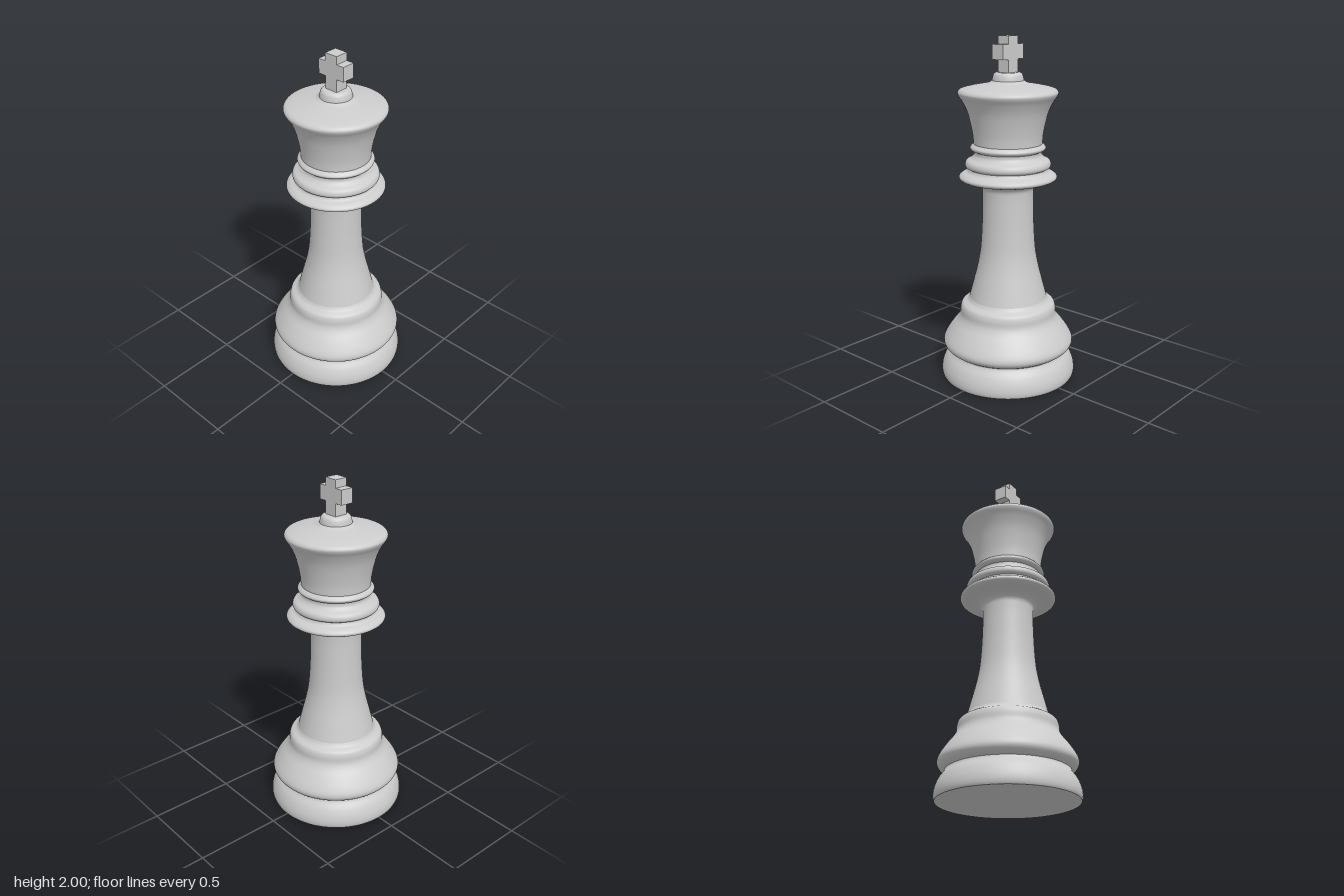
import * as THREE from 'three';

const SEGMENTS = 96;

// Smooth turned section through [radius, height] points
function turned(name, points, material) {
  const curve = new THREE.CatmullRomCurve3(points.map(([r, y]) => new THREE.Vector3(r, y, 0)));
  const profile = curve.getPoints((points.length - 1) * 5).map(p => new THREE.Vector2(Math.max(p.x, 0), p.y));
  const mesh = new THREE.Mesh(new THREE.LatheGeometry(profile, SEGMENTS), material);
  mesh.name = name;
  return mesh;
}

export function createModel() {
  const group = new THREE.Group();
  group.name = 'chessKing';
  const grey = new THREE.MeshStandardMaterial({ color: 0xcccccc });
  grey.name = 'light grey';

  // Underside
  const underside = new THREE.Mesh(new THREE.CircleGeometry(0.393, SEGMENTS), grey);
  underside.name = 'underside';
  underside.rotation.x = Math.PI / 2;
  group.add(underside);

  // Turned body, from bottom to top, split at the sharp edges
  const sections = {
    foot: [[0.393, 0], [0.398, 0.012], [0.4, 0.035], [0.394, 0.07], [0.375, 0.115], [0.35, 0.15], [0.345, 0.163]],
    base: [[0.345, 0.163], [0.37, 0.18], [0.384, 0.2], [0.385, 0.22], [0.372, 0.25], [0.335, 0.305],
      [0.3, 0.35], [0.286, 0.38], [0.282, 0.42], [0.272, 0.445], [0.24, 0.465], [0.228, 0.482]],
    stem: [[0.228, 0.482], [0.203, 0.58], [0.18, 0.67], [0.163, 0.76], [0.153, 0.88], [0.148, 1.0],
      [0.147, 1.11], [0.151, 1.145], [0.17, 1.166], [0.205, 1.18]],
    lowerCollar: [[0.205, 1.18], [0.262, 1.19], [0.28, 1.202], [0.28, 1.214], [0.262, 1.23], [0.235, 1.242], [0.226, 1.258]],
    upperCollar: [[0.226, 1.258], [0.242, 1.268], [0.246, 1.283], [0.238, 1.303], [0.21, 1.32], [0.195, 1.338], [0.193, 1.357]],
    neckRing: [[0.193, 1.357], [0.21, 1.366], [0.216, 1.378], [0.208, 1.39], [0.196, 1.4]],
    crown: [[0.196, 1.4], [0.2, 1.45], [0.213, 1.52], [0.233, 1.59], [0.26, 1.645], [0.28, 1.675], [0.284, 1.69],
      [0.274, 1.705], [0.245, 1.716], [0.17, 1.732], [0.11, 1.744], [0.09, 1.755]],
    finial: [[0.09, 1.755], [0.086, 1.775], [0.08, 1.79], [0.068, 1.799], [0.05, 1.8], [0, 1.8]],
  };
  for (const [name, points] of Object.entries(sections)) group.add(turned(name, points, grey));

  // Cross on top
  const half = [[0.04, 1.79], [0.04, 1.872], [0.087, 1.872], [0.087, 1.955], [0.04, 1.955], [0.04, 2]];
  const outline = [...half, ...half.map(([x, y]) => [-x, y]).reverse()];
  const shape = new THREE.Shape(outline.map(([x, y]) => new THREE.Vector2(x, y)));
  const crossGeometry = new THREE.ExtrudeGeometry(shape, { depth: 0.078, bevelEnabled: false });
  crossGeometry.translate(0, 0, -0.039);
  const cross = new THREE.Mesh(crossGeometry, grey);
  cross.name = 'cross';
  group.add(cross);

  return group;
}
